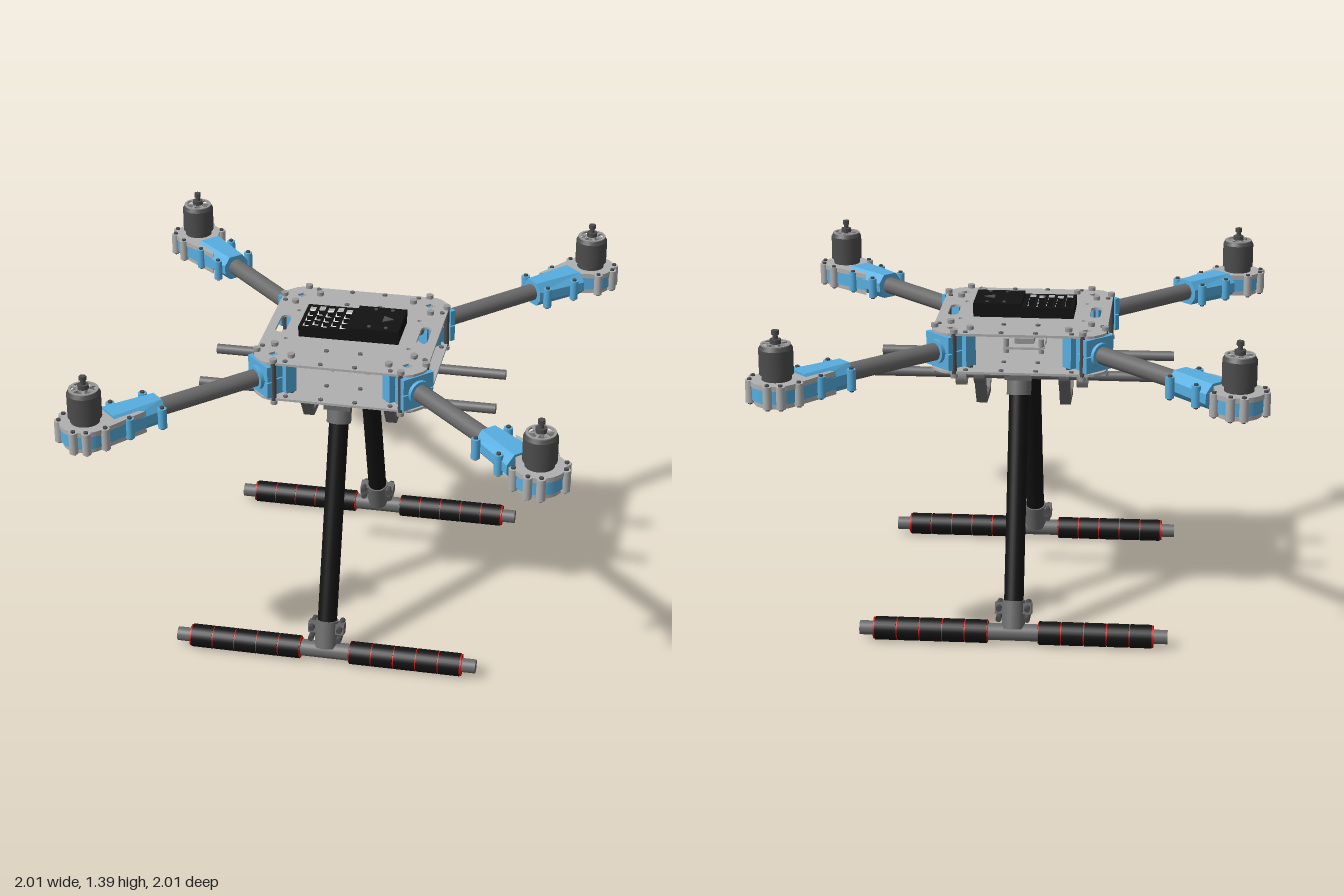
import * as THREE from 'three';

const mat = (color) => new THREE.MeshStandardMaterial({ color });
const M = {
  plate: mat(0xb0b0b0), tube: mat(0x6a6a6a), dark: mat(0x4c4c4c), black: mat(0x121212),
  blue: mat(0x56aee0), red: mat(0xd01010), pale: mat(0xe4e6dc), bracket: mat(0x9a9a9a),
};
const V = (x, y, z) => new THREE.Vector3(x, y, z);

function add(parent, name, geo, material, x = 0, y = 0, z = 0) {
  const m = new THREE.Mesh(geo, material);
  m.name = name;
  m.position.set(x, y, z);
  parent.add(m);
  return m;
}
const box = (p, name, m, w, h, d, x, y, z) => add(p, name, new THREE.BoxGeometry(w, h, d), m, x, y, z);
const cyl = (p, name, m, r, h, x, y, z, seg = 24) => add(p, name, new THREE.CylinderGeometry(r, r, h, seg), m, x, y, z);

// round bar between two points
function rod(p, name, m, a, b, r, seg = 28) {
  const d = b.clone().sub(a);
  const mesh = cyl(p, name, m, r, d.length(), 0, 0, 0, seg);
  mesh.position.copy(a).addScaledVector(d, 0.5);
  mesh.quaternion.setFromUnitVectors(V(0, 1, 0), d.normalize());
  return mesh;
}
const poly = (pts) => new THREE.Shape(pts.map(([x, y]) => new THREE.Vector2(x, y)));
const circle = (x, y, r) => new THREE.Path().absarc(x, y, r, 0, Math.PI * 2, true);
const rect = (x, y, w, h) => poly([[x - w / 2, y - h / 2], [x - w / 2, y + h / 2], [x + w / 2, y + h / 2], [x + w / 2, y - h / 2]]);

// extrude a plan (x, z) upward from y
function slab(p, name, m, shape, y, h) {
  const g = new THREE.ExtrudeGeometry(shape, { depth: h, bevelEnabled: false, curveSegments: 20 });
  g.rotateX(-Math.PI / 2);
  return add(p, name, g, m, 0, y, 0);
}

// square deck with cut corners, handle slots and corner windows
function deckShape() {
  const a = 0.355, c = 0.285, pts = [];
  for (let k = 0; k < 4; k++) {
    const s = Math.round(Math.sin(k * Math.PI / 2)), q = Math.round(Math.cos(k * Math.PI / 2));
    for (const [x, y] of [[a, -c], [a, c], [a - 0.01, c + 0.025], [c + 0.025, a - 0.01]]) pts.push([x * q - y * s, x * s + y * q]);
  }
  const shape = poly(pts);
  for (const s of [-1, 1]) {
    const slot = new THREE.Path();
    slot.absarc(s * 0.295, 0.055, 0.022, 0, Math.PI, false);
    slot.absarc(s * 0.295, -0.055, 0.022, Math.PI, Math.PI * 2, false);
    shape.holes.push(slot);
    for (const t of [-1, 1]) {
      const x = s * 0.275, y = t * 0.275, d = 0.022;
      shape.holes.push(poly([[x - d, y], [x, y + d], [x + d, y], [x, y - d]]));
      shape.holes.push(circle(s * 0.255, t * 0.13, 0.01));
    }
  }
  return shape;
}

// motor with vented bell, built around its own axis
function motor() {
  const g = new THREE.Group();
  g.name = 'motor';
  cyl(g, 'motorBase', M.dark, 0.058, 0.03, 0, 1.215, 0, 32);
  const prof = [[0.05, 1.225], [0.067, 1.225], [0.067, 1.325], [0.058, 1.342]].map(([x, y]) => new THREE.Vector2(x, y));
  for (let i = 0; i < 3; i++) add(g, 'motorBell', new THREE.LatheGeometry([prof[i], prof[i + 1]], 36), M.dark);
  const cap = new THREE.Shape().absarc(0, 0, 0.059, 0, Math.PI * 2, false);
  for (let k = 0; k < 6; k++) {
    const a = k * Math.PI / 3, vent = new THREE.Path();
    vent.absarc(0, 0, 0.049, a + 0.12, a + 0.93, false);
    vent.absarc(0, 0, 0.024, a + 0.8, a + 0.25, true);
    cap.holes.push(vent);
  }
  slab(g, 'motorCap', M.bracket, cap, 1.336, 0.008);
  cyl(g, 'motorCore', M.tube, 0.053, 0.09, 0, 1.28, 0);
  cyl(g, 'motorHub', M.dark, 0.022, 0.02, 0, 1.352, 0);
  cyl(g, 'motorShaft', M.dark, 0.01, 0.05, 0, 1.37, 0, 16);
  cyl(g, 'propNut', M.dark, 0.015, 0.018, 0, 1.388, 0, 6);
  return g;
}

// one arm, pointing along local +x
function arm() {
  const g = new THREE.Group(), R = 1.252;
  g.name = 'arm';
  rod(g, 'armTube', M.tube, V(0.32, 1.16, 0), V(1.12, 1.16, 0), 0.036);
  // inner clamp: two halves, end collar and bolts
  for (const s of [-1, 1]) {
    box(g, 'armClampHalf', M.blue, 0.115, 0.067, 0.115, 0.39, 1.16 + s * 0.036, 0);
    box(g, 'clampFlange', M.blue, 0.022, 0.067, 0.145, 0.455, 1.16 + s * 0.036, 0);
    box(g, 'clampSide', M.blue, 0.05, 0.13, 0.03, 0.36, 1.16, s * 0.07);
    for (const x of [0.345, 0.43]) {
      cyl(g, 'clampBolt', M.dark, 0.011, 0.205, x, 1.155, s * 0.062, 12);
      for (const y of [1.25, 1.062]) cyl(g, 'boltHead', M.bracket, 0.015, 0.016, x, y, s * 0.062, 12);
    }
  }
  rod(g, 'clampCollar', M.blue, V(0.45, 1.16, 0), V(0.482, 1.16, 0), 0.05);
  // motor mount: teardrop core between two plates, with bolt lugs
  const tear = (r) => {
    const s = new THREE.Shape();
    s.moveTo(1.02, -0.065);
    s.absarc(R, 0, r, -1.75, 1.75, false);
    s.lineTo(1.02, 0.065);
    return s;
  };
  slab(g, 'mountCore', M.blue, tear(0.098), 1.127, 0.055);
  slab(g, 'mountTopPlate', M.plate, tear(0.102), 1.182, 0.02);
  slab(g, 'mountBottomPlate', M.plate, tear(0.09), 1.107, 0.02);
  for (const s of [-1, 1]) {
    for (const a of [0.6, 1.1, 1.9]) {
      const x = R + 0.104 * Math.cos(a), z = s * 0.104 * Math.sin(a);
      cyl(g, 'mountLug', M.plate, 0.018, 0.09, x, 1.157, z, 16);
      cyl(g, 'lugBolt', M.dark, 0.009, 0.104, x, 1.157, z, 10);
    }
    for (const x of [0.955, 1.1]) {
      cyl(g, 'mountEar', M.blue, 0.018, 0.085, x, 1.157, s * 0.078, 16);
      cyl(g, 'earBolt', M.dark, 0.009, 0.1, x, 1.157, s * 0.078, 10);
    }
  }
  // faceted outer clamp around the tube
  const sec = poly([[-0.08, -0.02], [-0.045, -0.05], [0.045, -0.05], [0.08, -0.02], [0.08, 0.02], [0.045, 0.055], [-0.045, 0.055], [-0.08, 0.02]]);
  const clamp = new THREE.ExtrudeGeometry(sec, { depth: 0.225, bevelEnabled: false });
  const p = clamp.attributes.position;
  for (let i = 0; i < p.count; i++) if (p.getZ(i) < 0.01) p.setX(i, p.getX(i) * 0.72);
  clamp.rotateY(Math.PI / 2);
  clamp.computeVertexNormals();
  add(g, 'mountClamp', clamp, M.blue, 0.93, 1.157, 0);
  const m = motor();
  m.position.x = R;
  g.add(m);
  return g;
}

// landing leg on the +z side
function leg() {
  const g = new THREE.Group();
  g.name = 'landingLeg';
  const top = V(0, 1.06, 0.282), foot = V(0, 0.055, 0.6), at = (t) => top.clone().lerp(foot, t);
  box(g, 'legFlange', M.tube, 0.11, 0.022, 0.13, 0, 1.06, 0.285);
  rod(g, 'legSocket', M.tube, at(0), at(0.085), 0.05);
  rod(g, 'legTube', M.black, at(0.05), at(0.9), 0.04);
  rod(g, 'footSocket', M.tube, at(0.88), at(0.99), 0.047);
  for (const s of [-1, 1]) {
    for (const t of [0.9, 0.94]) rod(g, 'footClampBolt', M.dark, at(t).add(V(s * 0.058, 0, -0.045)), at(t).add(V(s * 0.058, 0, 0.045)), 0.012, 10);
    const ear = box(g, 'footClampEar', M.tube, 0.04, 0.045, 0.05, s * 0.055, 0, 0);
    ear.position.add(at(0.91));
    ear.rotation.x = -0.306;
  }
  rod(g, 'skidSleeve', M.tube, V(-0.1, 0.05, 0.6), V(0.1, 0.05, 0.6), 0.035);
  rod(g, 'skidTube', M.tube, V(-0.63, 0.05, 0.6), V(0.63, 0.05, 0.6), 0.029);
  // padded grips in five sections over a red liner
  for (const s of [-1, 1]) {
    rod(g, 'gripLiner', M.red, V(s * 0.103, 0.05, 0.6), V(s * 0.573, 0.05, 0.6), 0.045);
    for (let i = 0; i < 5; i++) {
      const x = 0.106 + i * 0.093;
      rod(g, 'gripPad', M.black, V(s * x, 0.05, 0.6), V(s * (x + 0.088), 0.05, 0.6), 0.048);
    }
  }
  return g;
}

// trapezoid battery frame across the rails, centred on x
function batteryFrame(x) {
  const s = poly([[-0.17, 1.0], [-0.075, 0.862], [0.075, 0.862], [0.17, 1.0], [0.13, 1.0], [0.062, 0.888], [-0.062, 0.888], [-0.13, 1.0]]);
  const geo = new THREE.ExtrudeGeometry(s, { depth: 0.045, bevelEnabled: false });
  geo.rotateY(Math.PI / 2);
  return [geo, x - 0.0225];
}
function ring(p, name, m, x, z, w, ro, ri) {
  const s = new THREE.Shape().absarc(0, 0, ro, 0, Math.PI * 2, false);
  s.holes.push(circle(0, 0, ri));
  const geo = new THREE.ExtrudeGeometry(s, { depth: w, bevelEnabled: false, curveSegments: 18 });
  geo.rotateY(Math.PI / 2);
  add(p, name, geo, m, x - w / 2, 1.015, z);
}

export function createModel() {
  const g = new THREE.Group();
  g.name = 'quadcopter';
  const deck = deckShape();
  slab(g, 'topDeck', M.plate, deck, 1.232, 0.01);
  slab(g, 'bottomDeck', M.plate, deck, 1.072, 0.01);
  for (let k = 0; k < 4; k++) {
    const a = arm();
    a.rotation.y = Math.PI / 4 + k * Math.PI / 2;
    g.add(a);
  }
  for (const r of [0, Math.PI]) {
    const l = leg();
    l.rotation.y = r;
    g.add(l);
  }
  // deck screws
  for (const s of [-1, 1]) for (const t of [-1, 1])
    for (const [x, z] of [[0.07, 0.335], [0.07, 0.215], [0.215, 0.335], [0.335, 0.215], [0.29, 0.205]])
      for (const y of [1.244, 1.084]) cyl(g, 'deckScrew', M.tube, 0.01, 0.008, s * x, y, t * z, 10);

  // payload rails, hangers and battery frames
  for (const z of [-0.15, 0.15]) {
    rod(g, 'rail', M.tube, V(-0.62, 1.015, z), V(0.62, 1.015, z), 0.021);
    for (const x of [-0.25, 0.25]) {
      ring(g, 'railHanger', M.bracket, x, z, 0.045, 0.05, 0.021);
      box(g, 'hangerBlock', M.bracket, 0.035, 0.028, 0.085, x, 1.062, z);
    }
    for (const x of [-0.175, 0.175]) ring(g, 'frameRing', M.tube, x, z, 0.045, 0.042, 0.021);
  }
  for (const x of [-0.175, 0.175]) {
    const [geo, px] = batteryFrame(x);
    add(g, 'batteryFrame', geo, M.tube, px);
  }
  // sensor tray on the lower deck
  box(g, 'sensorTray', M.plate, 0.17, 0.01, 0.17, 0, 1.104, 0);
  box(g, 'sensor', M.bracket, 0.08, 0.022, 0.08, 0, 1.122, 0);
  for (const x of [-0.073, 0.073]) for (const z of [-0.073, 0.073]) cyl(g, 'trayPost', M.bracket, 0.011, 0.062, x, 1.112, z, 12);

  // flight computer: slotted low half over a pale board, raised solid half
  const caseShape = rect(-0.1, 0, 0.22, 0.21);
  for (let c = 0; c < 5; c++) for (let r = 0; r < 4; r++) {
    const y = -0.069 + r * 0.046 + (c % 2 ? 0.006 : -0.006);
    caseShape.holes.push(rect(-0.183 + c * 0.0385, y, 0.025, 0.038));
  }
  slab(g, 'computerBase', M.black, rect(-0.1, 0, 0.218, 0.208), 1.242, 0.02);
  slab(g, 'computerBoard', M.pale, rect(-0.1, 0, 0.205, 0.195), 1.26, 0.008);
  slab(g, 'slottedCase', M.black, caseShape, 1.262, 0.026);
  box(g, 'raisedCase', M.black, 0.2, 0.058, 0.21, 0.106, 1.272, 0);
  const marker = cyl(g, 'headingMarker', M.dark, 0.03, 0.004, 0.14, 1.302, 0, 3);
  marker.rotation.y = Math.PI / 2;
  for (const x of [0.08, 0.15]) for (const z of [-0.08, 0.08]) cyl(g, 'caseScrew', M.dark, 0.008, 0.006, x, 1.302, z, 10);
  return g;
}
